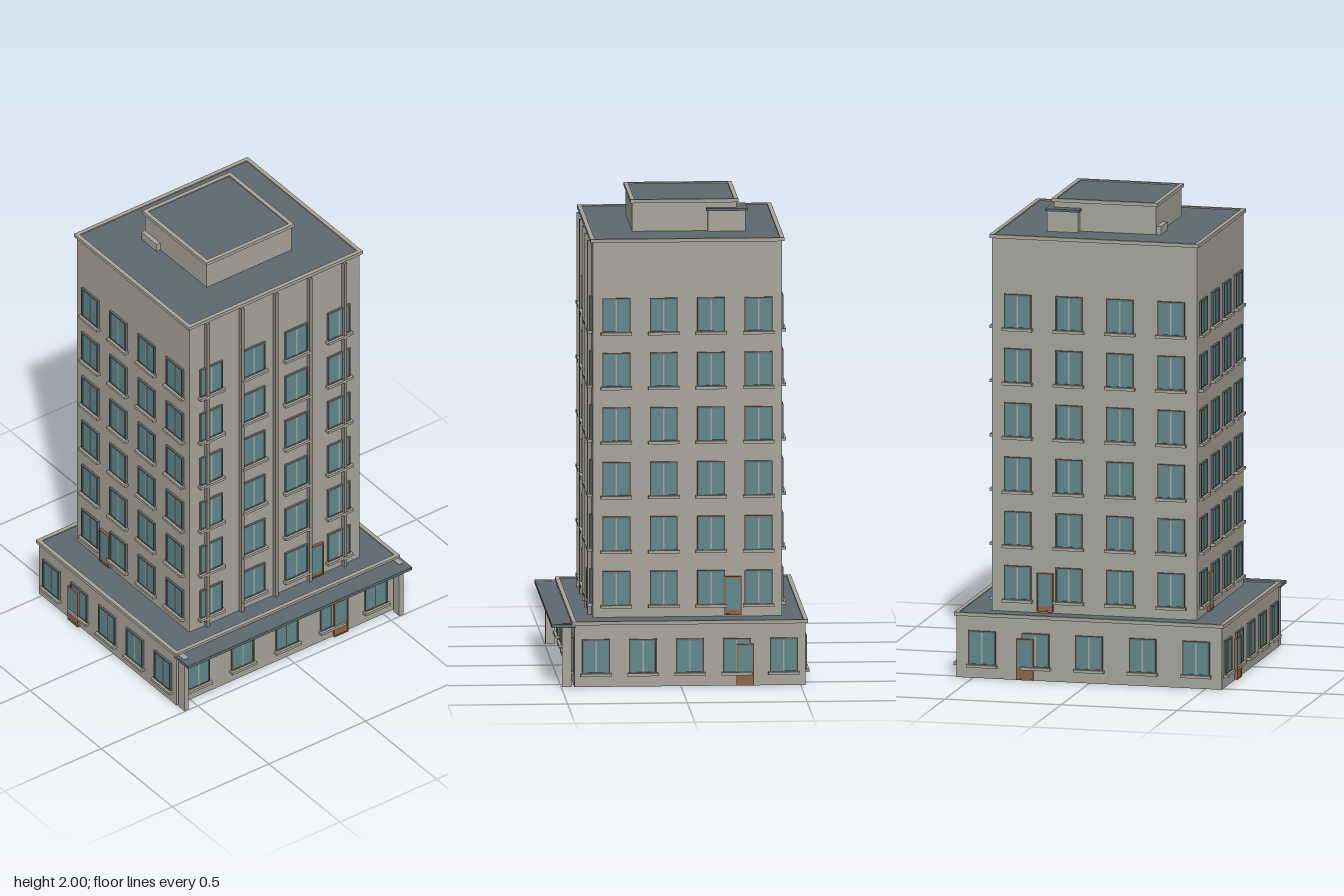
import * as THREE from 'three';

const mat = (name, color) => new THREE.MeshStandardMaterial({ name, color });

export function createModel() {
  const stone = mat('stone', 0xa6a499);
  const slate = mat('slate', 0x5d6970);
  const glass = mat('glass', 0x5f888d);
  const frameGrey = mat('frame grey', 0x676b68);
  const trim = mat('trim', 0x8c8a81);
  const wood = mat('wood', 0x8e6544);

  const model = new THREE.Group();
  model.name = 'building';

  // Box given by its limits along each axis
  function block(parent, name, material, x0, x1, y0, y1, z0, z1) {
    const mesh = new THREE.Mesh(new THREE.BoxGeometry(x1 - x0, y1 - y0, z1 - z0), material);
    mesh.position.set((x0 + x1) / 2, (y0 + y1) / 2, (z0 + z1) / 2);
    mesh.name = name;
    parent.add(mesh);
    return mesh;
  }

  // Rectangular ring, extruded along +z, centred in x and y
  function ring(w, h, border, depth) {
    const rect = (Type, a, b) => {
      const s = new Type();
      s.moveTo(-a, -b); s.lineTo(a, -b); s.lineTo(a, b); s.lineTo(-a, b); s.closePath();
      return s;
    };
    const shape = rect(THREE.Shape, w / 2, h / 2);
    shape.holes.push(rect(THREE.Path, w / 2 - border, h / 2 - border));
    return new THREE.ExtrudeGeometry(shape, { depth, bevelEnabled: false });
  }

  // A storey block with a raised rim and a slate roof inside it
  function volume(name, hx, z0, z1, y0, y1, over) {
    const g = new THREE.Group();
    g.name = name;
    block(g, 'walls', stone, -hx, hx, y0, y1 - 0.012, z0, z1);
    const w = hx * 2 + over * 2, d = z1 - z0 + over * 2;
    const rim = new THREE.Mesh(ring(w, d, 0.018, 0.015), stone);
    rim.name = 'roofRim';
    rim.rotation.x = -Math.PI / 2;
    rim.position.set(0, y1 - 0.015, (z0 + z1) / 2);
    g.add(rim);
    block(g, 'roofSurface', slate, -w / 2 + 0.018, w / 2 - 0.018, y1 - 0.014, y1 - 0.005,
      z0 - over + 0.018, z1 + over - 0.018);
    model.add(g);
  }
  volume('base', 0.57, -0.52, 0.445, 0, 0.277, 0.01);
  volume('tower', 0.44, -0.43, 0.36, 0.265, 1.87, 0.01);
  volume('penthouse', 0.22, -0.253, 0.182, 1.86, 2.0, 0.008);

  // Windows and doors: local z points out of the wall
  const winW = 0.116, winH = 0.147;
  const winFrame = ring(winW, winH, 0.007, 0.009);
  const winGlass = new THREE.BoxGeometry(winW - 0.01, winH - 0.01, 0.005);
  const winBar = new THREE.BoxGeometry(0.006, winH - 0.012, 0.007);
  const sillGeo = new THREE.BoxGeometry(0.13, 0.012, 0.02);

  function makeWindow(x, bottom) {
    const g = new THREE.Group();
    g.name = 'window';
    const add = (name, geo, m, y, z) => {
      const mesh = new THREE.Mesh(geo, m);
      mesh.name = name;
      mesh.position.set(0, y, z);
      g.add(mesh);
    };
    add('frame', winFrame, frameGrey, winH / 2, 0);
    add('pane', winGlass, glass, winH / 2, 0.0025);
    add('mullion', winBar, stone, winH / 2, 0.0035);
    add('sill', sillGeo, stone, -0.002, 0.01);
    g.position.set(x, bottom, 0);
    return g;
  }

  function makeDoor(x, bottom, w, h, panel) {
    const g = new THREE.Group();
    g.name = 'door';
    const frame = new THREE.Mesh(ring(w, h, 0.006, 0.013), wood);
    frame.name = 'doorFrame';
    frame.position.y = h / 2;
    g.add(frame);
    block(g, 'doorPane', glass, -w / 2 + 0.005, w / 2 - 0.005, panel, h - 0.005, 0, 0.0115);
    block(g, 'doorPanel', wood, -w / 2 + 0.005, w / 2 - 0.005, 0.002, panel, 0, 0.0115);
    g.position.set(x, bottom, 0);
    return g;
  }

  // One facade: columns and door are measured from the middle of the wall
  function facade(name, position, turn, columns, rows, door) {
    const g = new THREE.Group();
    g.name = name;
    for (const y of rows) for (const x of columns) g.add(makeWindow(x, y));
    g.add(makeDoor(...door));
    g.position.set(...position);
    g.rotation.y = turn;
    model.add(g);
  }

  // Four facades round each block
  function facades(name, hx, z0, z1, xs, zs, rows, doorX, doorZ, doorSize) {
    const mid = (z0 + z1) / 2, q = Math.PI / 2;
    facade(name + 'Front', [0, 0, z1], 0, xs, rows, [doorX, ...doorSize]);
    facade(name + 'Back', [0, 0, z0], Math.PI, xs, rows, [-doorX, ...doorSize]);
    facade(name + 'LeftSide', [hx, 0, mid], q, zs, rows, [-doorZ, ...doorSize]);
    facade(name + 'RightSide', [-hx, 0, mid], -q, zs, rows, [doorZ, ...doorSize]);
  }
  const spread = (n, step) => Array.from({ length: n }, (_, i) => (i - (n - 1) / 2) * step);
  facades('base', 0.57, -0.52, 0.445, spread(5, 0.23), spread(5, 0.196), [0.054],
    0.275, -0.23, [0.002, 0.072, 0.174, 0.05]);
  facades('tower', 0.44, -0.43, 0.36, spread(4, 0.22), spread(4, 0.198),
    Array.from({ length: 6 }, (_, i) => 0.32 + i * 0.2305), 0.212, -0.19, [0.278, 0.07, 0.163, 0.024]);

  // Slender ribs up the tower front
  for (const x of [-0.355, -0.176, 0, 0.176, 0.355])
    block(model, 'rib', trim, x - 0.007, x + 0.007, 0.27, 1.852, 0.355, 0.378);

  // Front canopy on two posts
  block(model, 'canopy', slate, -0.58, 0.58, 0.252, 0.266, 0.44, 0.54);
  for (const s of [-1, 1])
    block(model, 'canopyPost', stone, s * 0.556 - 0.011, s * 0.556 + 0.011, 0, 0.268, 0.457, 0.496);

  // Rooftop stair housing and vent box
  block(model, 'stairHousing', stone, 0.107, 0.24, 1.86, 1.952, -0.29, -0.133);
  block(model, 'stairHousingRoof', slate, 0.1, 0.247, 1.952, 1.962, -0.298, -0.126);
  block(model, 'ventBox', stone, -0.24, -0.215, 1.86, 1.9, -0.25, -0.143);

  return model;
}
